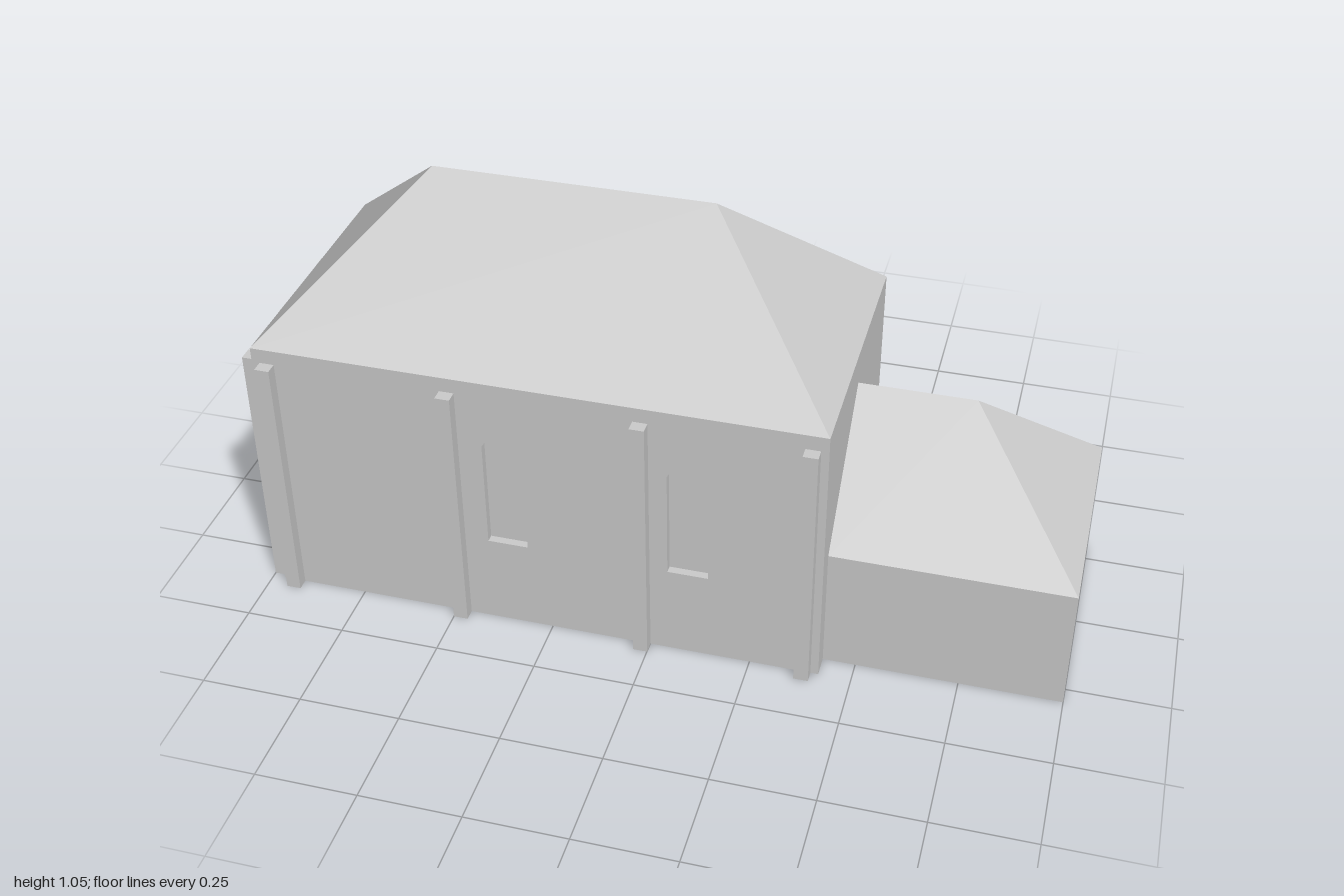
import * as THREE from 'three';

const stone = new THREE.MeshStandardMaterial({ color: 0xcccccc });
stone.name = 'stone grey';

function add(parent, name, geometry) {
  const mesh = new THREE.Mesh(geometry, stone);
  mesh.name = name;
  parent.add(mesh);
  return mesh;
}

// Box given by its limits on each axis
function block(parent, name, x0, x1, y0, y1, z0, z1) {
  const mesh = add(parent, name, new THREE.BoxGeometry(x1 - x0, y1 - y0, z1 - z0));
  mesh.position.set((x0 + x1) / 2, (y0 + y1) / 2, (z0 + z1) / 2);
  return mesh;
}

// Hipped roof with its ridge along x; a zero hip gives an upright gable end
function hipRoof(parent, name, x0, x1, halfDepth, eaves, ridge, hipLeft, hipRight) {
  const a = [x0, eaves, halfDepth], b = [x1, eaves, halfDepth];
  const c = [x1, eaves, -halfDepth], d = [x0, eaves, -halfDepth];
  const e = [x0 + hipLeft, ridge, 0], f = [x1 - hipRight, ridge, 0];
  const faces = [a, b, f, a, f, e, c, d, e, c, e, f, b, c, f, d, a, e];
  const geometry = new THREE.BufferGeometry();
  geometry.setAttribute('position', new THREE.Float32BufferAttribute(faces.flat(), 3));
  geometry.computeVertexNormals();
  return add(parent, name, geometry);
}

// Outline of a pointed opening
function pointedHole(centre, bottom, shoulder, apex, width = 0.1) {
  const w = width / 2;
  return new THREE.Path([
    [centre - w, bottom], [centre + w, bottom], [centre + w, shoulder],
    [centre, apex], [centre - w, shoulder],
  ].map(([x, y]) => new THREE.Vector2(x, y)));
}

// Wall slab with openings, thickness along z from 0
function wallGeometry(x0, x1, height, thickness, holes) {
  const shape = new THREE.Shape([
    new THREE.Vector2(x0, 0), new THREE.Vector2(x1, 0),
    new THREE.Vector2(x1, height), new THREE.Vector2(x0, height),
  ]);
  shape.holes.push(...holes);
  return new THREE.ExtrudeGeometry(shape, { depth: thickness, bevelEnabled: false });
}

export function createModel() {
  const model = new THREE.Group();
  model.name = 'chapel';
  const west = -0.97, east = 0.42, half = 0.35, eaves = 0.705, t = 0.02;

  // Main hall: solid core with pierced wall slabs, so the openings are recessed
  block(model, 'hallCore', west + 2 * t, east, 0, eaves, -half + t, half - t);
  const windows = () => [-0.355, 0.095].map(x => pointedHole(x, 0.24, 0.525, 0.6));
  for (const side of [1, -1]) {
    const wall = add(model, side > 0 ? 'frontWall' : 'backWall',
      wallGeometry(west, east, eaves, t, windows()));
    wall.position.z = side > 0 ? half - t : -half;
  }

  // Entrance end: three windows, the middle one running down into a deeper doorway
  const inner = half - t;
  const outerWall = add(model, 'entranceWall', wallGeometry(-inner, inner, eaves, t, [
    pointedHole(-0.21, 0.29, 0.525, 0.6),
    pointedHole(0, 0.03, 0.525, 0.6),
    pointedHole(0.21, 0.29, 0.525, 0.6),
  ]));
  const innerWall = add(model, 'entranceWallLining',
    wallGeometry(-inner, inner, eaves, t, [pointedHole(0, 0.03, 0.295, 0.37)]));
  [outerWall, innerWall].forEach((wall, i) => {
    wall.rotation.y = -Math.PI / 2;
    wall.position.x = west + t * (i + 1);
  });

  hipRoof(model, 'hallRoof', west, east, half, eaves, 1.055, 0.35, 0.35);

  // Buttresses along both long sides and the entrance end
  const w = 0.018, top = 0.667;
  for (const x of [-0.932, -0.482, -0.017, 0.383]) {
    block(model, 'frontButtress', x - w, x + w, 0, top, half, 0.38);
    block(model, 'backButtress', x - w, x + w, 0, top, -0.38, -half);
  }
  for (const z of [-0.322, -0.11, 0.11, 0.322]) {
    block(model, 'entranceButtress', -1, west, 0, top, z - w, z + w);
  }

  // Lower annex at the far end
  block(model, 'annexWalls', east, 1, 0, 0.325, -0.295, 0.295);
  hipRoof(model, 'annexRoof', east, 1, 0.295, 0.325, 0.62, 0, 0.295);

  return model;
}
